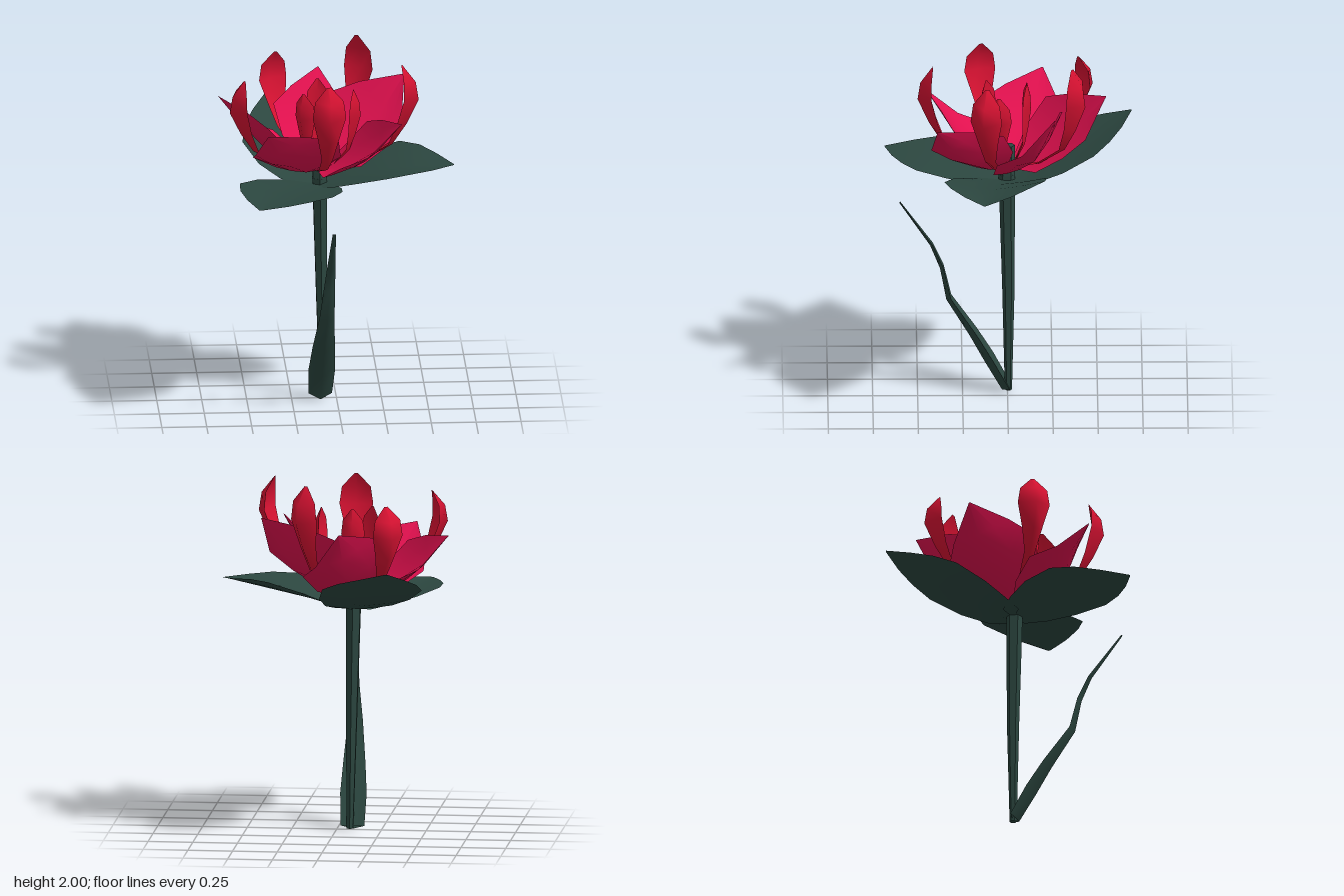
import * as THREE from 'three';

const paint = (color, flatShading = false) =>
  new THREE.MeshStandardMaterial({ color, flatShading, side: THREE.DoubleSide });
const green = paint(0x2c4740);
const stemGreen = paint(0x2c4740, true);
const petalRed = paint(0xe0104e);
const innerRed = paint(0xd81232);

const CX = -0.1; // flower axis

// Sheet through rows of cross-section points, each row resampled to "cols" strips
function sheet(rows, material, cols) {
  const pos = [], index = [];
  rows.forEach((row, i) => {
    const curve = new THREE.CatmullRomCurve3(row.map((p) => new THREE.Vector3(...p)));
    for (let j = 0; j <= cols; j++) {
      pos.push(...curve.getPoint(j / cols).toArray());
      if (i && j) {
        const d = i * (cols + 1) + j, c = d - 1, b = d - cols - 1, a = b - 1;
        index.push(a, b, d, a, d, c);
      }
    }
  });
  const g = new THREE.BufferGeometry();
  g.setAttribute('position', new THREE.Float32BufferAttribute(pos, 3));
  g.setIndex(index);
  g.computeVertexNormals();
  return new THREE.Mesh(g, material);
}

// Blade with body: an outer sheet plus an inner one whose midline is
// moved by "fill" towards the line between the two edges
function blade(name, rows, material, fill, cols = 4) {
  const inner = rows.map(([l, m, r]) => [l, m.map((c, k) => c + fill * ((l[k] + r[k]) / 2 - c)), r]);
  const group = new THREE.Group();
  group.name = name;
  group.add(sheet(rows, material, cols), sheet(inner, material, cols));
  return group;
}

// Turn a part built along +x to a heading (degrees, from +x towards +z)
function around(part, deg) {
  part.position.x = CX;
  part.rotation.y = -THREE.MathUtils.degToRad(deg);
  return part;
}

// Cupped petal, low on one side and curled up on the other
function petal(deg, length, tipY, curlWidth) {
  const rows = [
    [[0.02, 0.01, -0.03], [0.03, 0, 0], [0.02, 0, 0.03]],
    [[0.10, 0.15, -0.2], [0.14, 0.02, 0], [0.17, 0.03, 0.18]],
    [[0.21, 0.29, -0.25], [0.32, 0.11, 0], [0.33, 0.13, 0.24]],
    [[0.36, 0.345, -0.15], [0.45, 0.24, 0], [0.46, 0.2, 0.15]],
    [[0.57, 0.385, -0.006], [0.575, 0.385, 0], [0.57, 0.38, 0.006]],
  ].map((r) => r.map(([u, h, v]) => [u * length / 0.575, 1.335 + h * (tipY - 1.335) / 0.385,
    v < 0 ? v * curlWidth : v]));
  return around(blade('petal', rows, petalRed, 0.25), deg);
}

// Broad green leaf under the flower: [distance, half width, edge lift]
function sepal(deg, length, rise, bend, liftNeg, liftPos) {
  const rows = [[0, 0.11, 0.15], [0.1, 0.19, 0.4], [0.24, 0.26, 0.8], [0.42, 0.285, 1],
    [0.54, 0.225, 0.8], [0.65, 0.13, 0.4], [0.76, 0.006, 0]].map(([u, w, lift]) => {
    const y = 1.25 + rise * (u / 0.76) ** bend, x = u * length / 0.76;
    return [[x, y + lift * liftNeg, -w], [x, y, 0], [x, y + lift * liftPos, w]];
  });
  return around(blade('sepal', rows, green, 0.4), deg);
}

// Slim upright inner petal, curling inward at the top: [distance, height, half width, fold]
function curl(deg, reach, topY, width) {
  const rows = [[0.02, 0, 0.015, 0.005], [0.2, 0.06, 0.025, 0.012], [0.36, 0.17, 0.032, 0.02],
    [0.43, 0.29, 0.058, 0.045], [0.49, 0.43, 0.094, 0.07], [0.475, 0.53, 0.08, 0.055],
    [0.41, 0.62, 0.01, 0.004]].map(([u, h, w, fold]) => {
    const x = u * reach / 0.41, y = 1.33 + h * (topY - 1.33) / 0.62;
    const k = fold * width, v = w * width;
    return [[x - k, y + k * 0.2, -v], [x, y, 0], [x - k, y + k * 0.2, v]];
  });
  return around(blade('innerPetal', rows, innerRed, 0.5, 2), deg);
}

export function createModel() {
  const model = new THREE.Group();
  model.name = 'flower';

  // Six-sided stem widening upward, then the flower centre: [bottom y, top y, radii, x, z]
  for (const [name, y0, y1, r0, r1, x0, x1, z0, z1] of [
    ['stem', 0.01, 0.6, 0.02, 0.034, -0.075, -0.083, -0.005, -0.005],
    ['stem', 0.6, 1.29, 0.034, 0.046, -0.083, -0.094, -0.005, 0.004],
    ['flowerCentre', 1.29, 1.46, 0.045, 0.036, -0.094, CX, 0.004, -0.005],
  ]) {
    const g = new THREE.CylinderGeometry(r1, r0, y1 - y0, 6);
    const p = g.attributes.position;
    for (let k = 0; k < p.count; k++) {
      const t = p.getY(k) / (y1 - y0) + 0.5;
      p.setXYZ(k, p.getX(k) + x0 + (x1 - x0) * t, y0 + (y1 - y0) * t, p.getZ(k) + z0 + (z1 - z0) * t);
    }
    const part = new THREE.Mesh(g, stemGreen);
    part.name = name;
    model.add(part);
  }

  // Long narrow leaf leaning forward from the foot: [height, z, x, half width]
  const stemLeaf = [[0.003, 0.03, -0.09, 0.066], [0.17, 0.125, -0.085, 0.074], [0.33, 0.21, -0.08, 0.062],
    [0.55, 0.34, -0.07, 0.042], [0.74, 0.375, -0.058, 0.031], [0.88, 0.43, -0.052, 0.023],
    [1.14, 0.603, -0.045, 0.009]].map(([y, z, x, w]) =>
    [[x - w, y + w * 0.35, z - w * 0.65], [x, y, z], [x + w, y + w * 0.35, z - w * 0.65]]);
  model.add(blade('stemLeaf', stemLeaf, green, 0.9, 2));

  // Three sepals
  for (const s of [[10, 0.76, 0.14, 1, 0.1, 0.055], [118, 0.77, 0.065, 1, 0.045, 0.05],
    [250, 0.735, 0.32, 1.5, 0.03, 0.06]]) model.add(sepal(...s));

  // Five main petals
  for (const p of [[124, 0.54, 1.67, 1], [41.5, 0.59, 1.71, 0.65], [-28, 0.56, 1.8, 0.95],
    [-87, 0.55, 1.76, 1], [200, 0.585, 1.71, 0.95]]) model.add(petal(...p));

  // Five outer and three small central curled petals
  for (const c of [[241, 0.455, 1.9, 0.95], [-57, 0.43, 2, 0.97], [14, 0.475, 1.97, 0.95],
    [85, 0.42, 1.94, 1], [161, 0.445, 1.9, 0.97],
    [-90, 0.11, 1.83, 0.7], [14, 0.2, 1.81, 0.74], [127, 0.15, 1.81, 0.7]]) model.add(curl(...c));

  return model;
}
